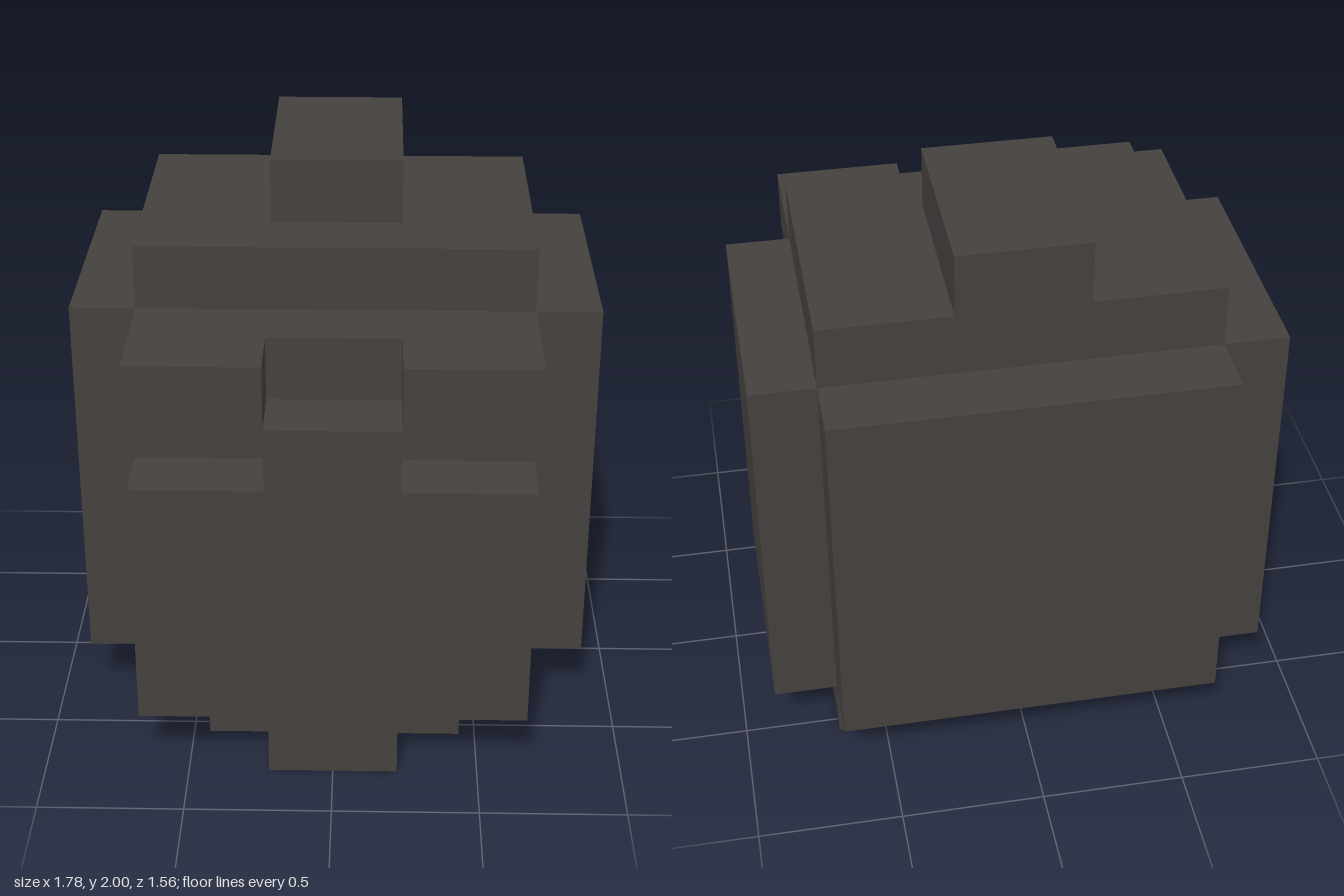
import * as THREE from 'three';

const U = 2 / 9; // one block

export function createModel() {
  const group = new THREE.Group();
  group.name = 'blockHead';
  const charcoal = new THREE.MeshStandardMaterial({ color: 0x45403e });
  charcoal.name = 'charcoal';

  // Box between two corners, measured in blocks
  const block = (name, [x0, x1], [y0, y1], [z0, z1]) => {
    const geometry = new THREE.BoxGeometry((x1 - x0) * U, (y1 - y0) * U, (z1 - z0) * U);
    const mesh = new THREE.Mesh(geometry, charcoal);
    mesh.name = name;
    mesh.position.set((x0 + x1) / 2 * U, (y0 + y1) / 2 * U, (z0 + z1) / 2 * U);
    group.add(mesh);
  };
  // The same box on the left (+x) and mirrored on the right
  const pair = (name, [x0, x1], y, z) => {
    block(name + 'Left', [x0, x1], y, z);
    block(name + 'Right', [-x1, -x0], y, z);
  };

  // Main body and crest
  block('core', [-3, 3], [0, 8], [-2.5, 1.5]);
  block('crest', [-1, 1], [8, 9], [-2.5, 0.5]);

  // Raised panels on the back and sides
  block('backPanel', [-3, 3], [1, 7], [-3.5, -2.5]);
  pair('sidePanel', [3, 4], [1, 7], [-2.5, 1.5]);

  // Face: inner layer, lower mask, nose bridge and brows around the eye openings
  block('innerFace', [-3, 3], [1, 7], [1.5, 2.5]);
  block('mask', [-3, 3], [1, 5], [2.5, 3.5]);
  block('noseBridge', [-1, 1], [5, 6], [2.5, 3.5]);
  pair('brow', [1, 3], [6, 7], [2.5, 3.5]);

  // Stepped chin
  block('chinBase', [-2, 2], [0, 1], [1.5, 2.5]);
  block('chinTip', [-1, 1], [0, 1], [2.5, 3.5]);

  return group;
}
